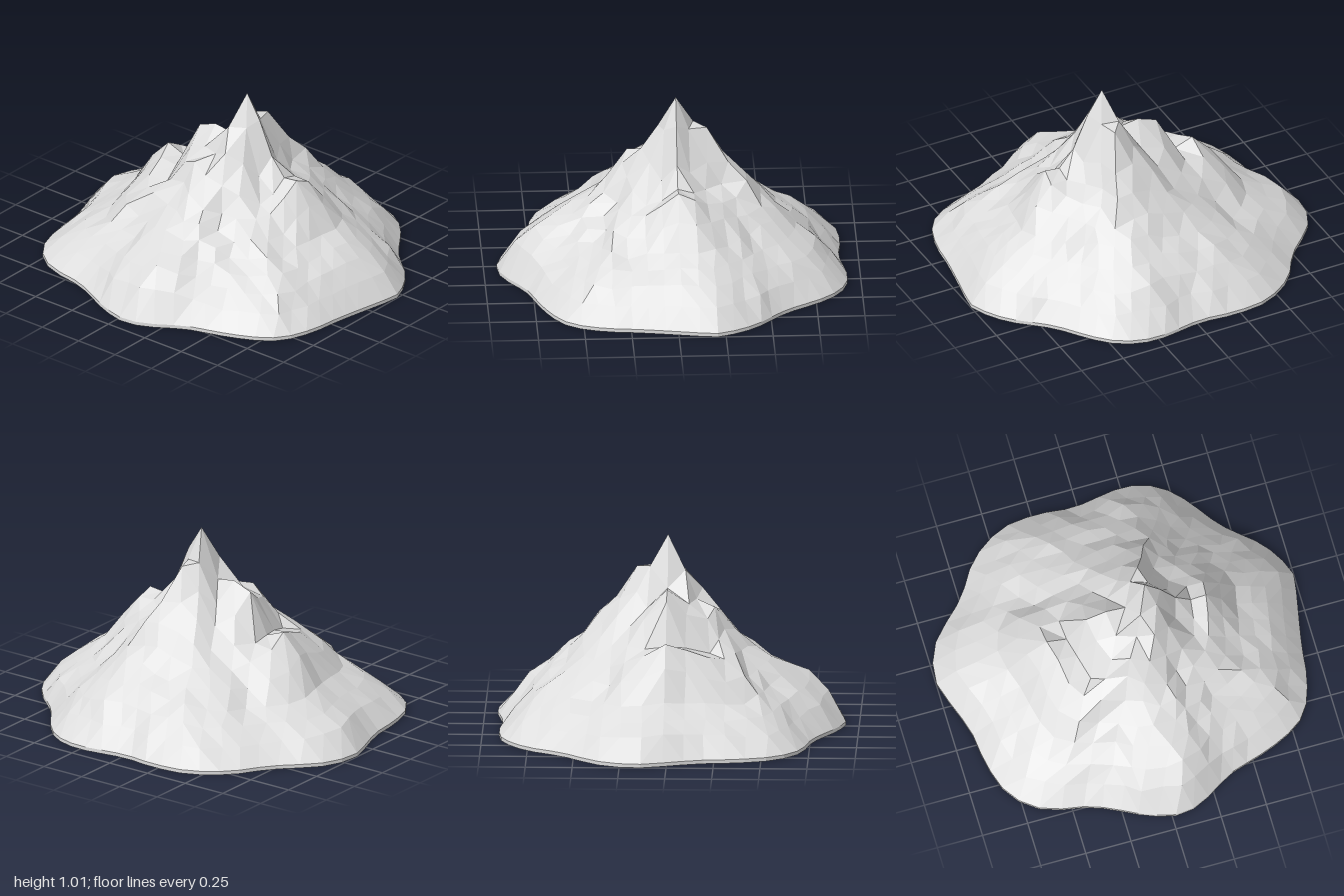
import * as THREE from 'three';

const RINGS = 10, RIM = 0.02;
const PEAK = new THREE.Vector2(0.12, -0.02);

// Foot of the mountain as [x, z], going round from the left side to the front
const FOOT = [[1, -0.2], [0.98, -0.08], [0.93, 0.19], [0.9, 0.4], [0.82, 0.58], [0.62, 0.7], [0.35, 0.79],
  [0.17, 0.9], [0.03, 0.93], [-0.13, 0.885], [-0.37, 0.77], [-0.65, 0.7], [-0.8, 0.575], [-0.87, 0.38],
  [-0.9, 0.16], [-0.96, -0.01], [-1, -0.16], [-0.95, -0.345], [-0.74, -0.57], [-0.61, -0.76], [-0.42, -0.885],
  [-0.235, -0.91], [-0.02, -0.895], [0.245, -0.93], [0.38, -0.91], [0.51, -0.83], [0.7, -0.585], [0.89, -0.41],
  [0.98, -0.265]];

// Slope heights from peak to foot, one profile every 30 degrees from +x towards +z
const SLOPES = [
  [1.015, 0.88, 0.69, 0.59, 0.6, 0.47, 0.33, 0.28, 0.22, 0.13, RIM],
  [1.015, 0.82, 0.6, 0.48, 0.44, 0.36, 0.3, 0.24, 0.18, 0.11, RIM],
  [1.015, 0.85, 0.67, 0.54, 0.44, 0.36, 0.3, 0.24, 0.18, 0.11, RIM],
  [1.015, 0.87, 0.72, 0.58, 0.47, 0.42, 0.37, 0.33, 0.27, 0.19, RIM],
  [1.015, 0.83, 0.68, 0.64, 0.55, 0.45, 0.35, 0.27, 0.2, 0.12, RIM],
  [1.015, 0.68, 0.68, 0.6, 0.47, 0.45, 0.34, 0.24, 0.18, 0.11, RIM],
  [1.015, 0.745, 0.76, 0.72, 0.5, 0.54, 0.43, 0.27, 0.2, 0.15, RIM],
  [1.015, 0.72, 0.66, 0.57, 0.47, 0.38, 0.3, 0.24, 0.18, 0.11, RIM],
  [1.015, 0.85, 0.72, 0.6, 0.5, 0.42, 0.34, 0.27, 0.2, 0.12, RIM],
  [1.015, 0.92, 0.83, 0.72, 0.59, 0.48, 0.4, 0.32, 0.24, 0.14, RIM],
  [1.015, 0.84, 0.68, 0.57, 0.51, 0.43, 0.36, 0.28, 0.2, 0.12, RIM],
  [1.015, 0.82, 0.64, 0.56, 0.52, 0.43, 0.35, 0.28, 0.21, 0.13, RIM],
];

function seeded(seed) {
  return () => {
    seed = (seed * 16807) % 2147483647;
    return seed / 2147483647;
  };
}

// Distance from the peak to the foot in a direction
function makeRadius() {
  const curve = new THREE.CatmullRomCurve3(FOOT.map(([x, z]) => new THREE.Vector3(x, 0, z)), true);
  const polar = curve.getPoints(720).map((p) => {
    const x = p.x - PEAK.x, z = p.z - PEAK.y;
    return { angle: Math.atan2(z, x), r: Math.hypot(x, z) };
  });
  return (angle) => {
    let best = polar[0], gap = Infinity;
    for (const p of polar) {
      const d = Math.abs(Math.atan2(Math.sin(p.angle - angle), Math.cos(p.angle - angle)));
      if (d < gap) { gap = d; best = p; }
    }
    return best.r;
  };
}

function slopeHeight(angle, ring) {
  const count = SLOPES.length;
  const s = angle / (Math.PI * 2) * count, i = Math.floor(s + 1e-6);
  return THREE.MathUtils.lerp(SLOPES[i % count][ring], SLOPES[(i + 1) % count][ring], Math.max(0, s - i));
}

// Rings of points, six more in each ring, slightly uneven away from the crest
function makeRings() {
  const random = seeded(4711), radius = makeRadius(), rings = [];
  for (let k = 0; k <= RINGS; k++) {
    const ring = [], count = Math.max(1, 6 * k);
    const inner = k > 0 && k < RINGS;
    for (let j = 0; j < count; j++) {
      const angle = (j / count) * Math.PI * 2;
      const r = radius(angle) * k / RINGS;
      const rough = inner ? Math.min(1, Math.abs(Math.sin(angle)) * 2) : 0;
      const jitter = (size) => (random() - 0.5) * size * rough;
      ring.push(new THREE.Vector3(
        PEAK.x + Math.cos(angle) * r + jitter(0.03),
        slopeHeight(angle, k) + jitter(0.04) * Math.sin(Math.PI * k / RINGS),
        PEAK.y + Math.sin(angle) * r + jitter(0.03)));
    }
    rings.push(ring);
  }
  return rings;
}

// Faceted mesh from a list of triangle corners
function facetMesh(name, corners, material) {
  const geometry = new THREE.BufferGeometry().setFromPoints(corners);
  geometry.computeVertexNormals();
  const mesh = new THREE.Mesh(geometry, material);
  mesh.name = name;
  return mesh;
}

export function createModel() {
  const model = new THREE.Group();
  model.name = 'mountain';
  const rock = new THREE.MeshStandardMaterial({ color: 0xdddddd });
  rock.name = 'light grey rock';
  const rings = makeRings();
  const at = (k, j) => rings[k][j % rings[k].length];

  // Rocky slopes
  const slopes = [];
  for (let k = 1; k <= RINGS; k++) {
    for (let s = 0; s < 6; s++) {
      for (let i = 0; i < k; i++) {
        const a = at(k, s * k + i), b = at(k, s * k + i + 1);
        const c = at(k - 1, s * (k - 1) + i);
        slopes.push(c, b, a);
        if (i < k - 1) slopes.push(c, at(k - 1, s * (k - 1) + i + 1), b);
      }
    }
  }
  model.add(facetMesh('slopes', slopes, rock));

  // Thin rim around the foot and the flat underside
  const rim = [], underside = [];
  const floor = (p) => new THREE.Vector3(p.x, 0, p.z);
  const foot = rings[RINGS], middle = floor(rings[0][0]);
  foot.forEach((a, j) => {
    const b = at(RINGS, j + 1), a0 = floor(a), b0 = floor(b);
    rim.push(a, b, b0, a, b0, a0);
    underside.push(middle, a0, b0);
  });
  model.add(facetMesh('rim', rim, rock), facetMesh('underside', underside, rock));
  return model;
}
